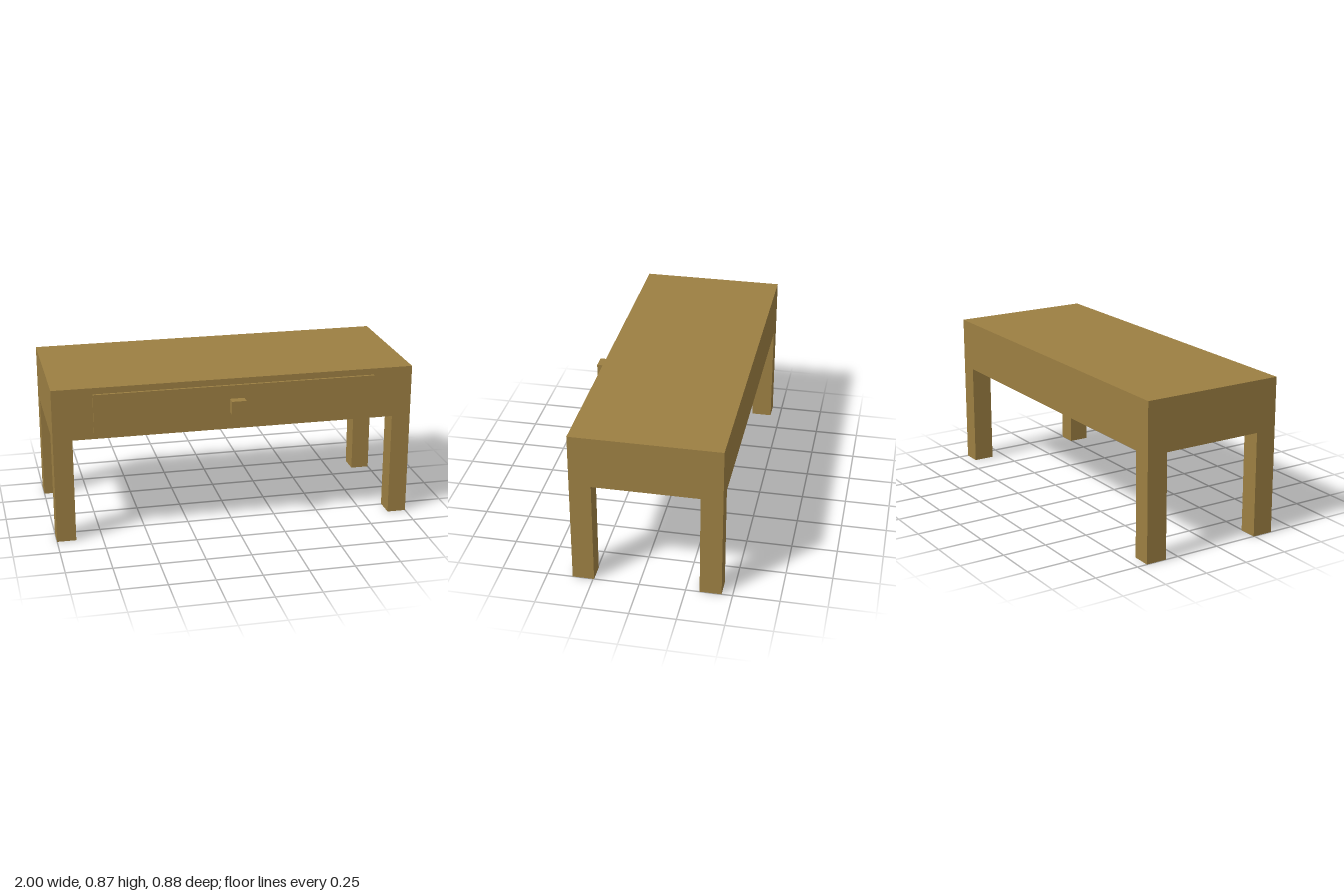
import * as THREE from 'three';

export function createModel() {
  const group = new THREE.Group();
  group.name = 'table';
  const wood = new THREE.MeshStandardMaterial({ color: 0x9c7f42, flatShading: true });

  function add(name, geometry) {
    const mesh = new THREE.Mesh(geometry, wood);
    mesh.name = name;
    group.add(mesh);
    return mesh;
  }

  // Box given by its lower and upper limits on each axis
  function box(name, [x0, x1], [y0, y1], [z0, z1]) {
    const mesh = add(name, new THREE.BoxGeometry(x1 - x0, y1 - y0, z1 - z0));
    mesh.position.set((x0 + x1) / 2, (y0 + y1) / 2, (z0 + z1) / 2);
  }

  const back = -0.442, front = 0.362, bodyBottom = 0.583;

  // Deep table body
  box('body', [-1, 1], [bodyBottom, 0.87], [back, front]);

  // Four square legs, flush with the corners
  for (const [side, x] of [['Left', [0.895, 1]], ['Right', [-1, -0.895]]]) {
    box('front' + side + 'Leg', x, [0, bodyBottom], [front - 0.117, front]);
    box('back' + side + 'Leg', x, [0, bodyBottom], [back, back + 0.117]);
  }

  // Drawer front, standing slightly proud of the body
  box('drawerFront', [-0.78, 0.78], [0.62, 0.835], [front, 0.376]);

  // Square knob on a short tapered neck
  const knobY = 0.7275;
  box('knob', [-0.04, 0.04], [0.69, 0.765], [0.392, 0.443]);
  const neck = new THREE.CylinderGeometry(0.0375 * Math.SQRT2, 0.032 * Math.SQRT2, 0.016, 4, 1, true);
  neck.rotateY(Math.PI / 4).rotateX(Math.PI / 2).scale(1.06, 1, 1);
  add('knobNeck', neck).position.set(0, knobY, 0.384);

  return group;
}
